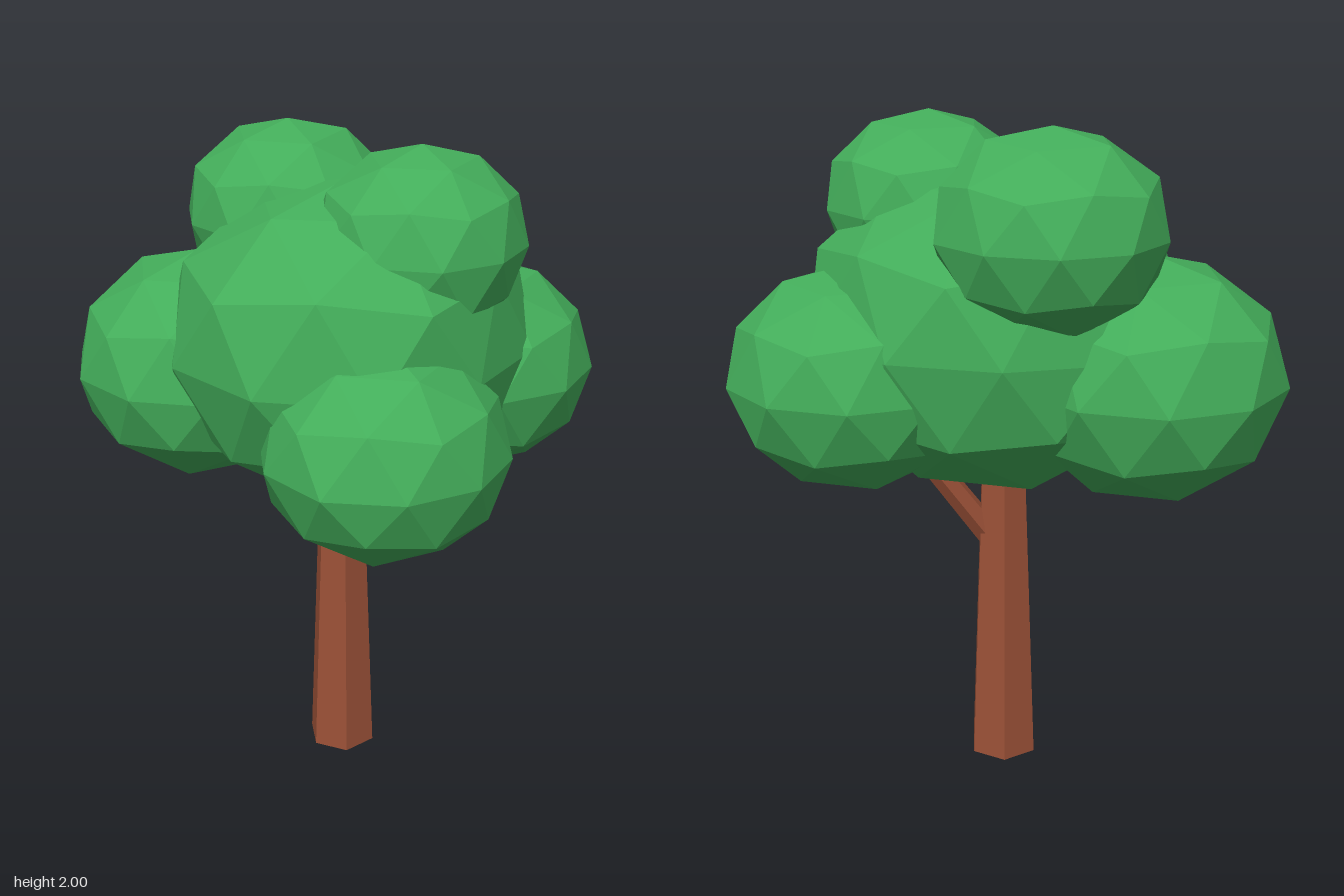
import * as THREE from 'three';

const leafGreen = new THREE.MeshStandardMaterial({ color: 0x43ad5a, flatShading: true });
leafGreen.name = 'leafGreen';
const barkBrown = new THREE.MeshStandardMaterial({ color: 0x9b5137, flatShading: true });
barkBrown.name = 'barkBrown';

// Foliage clumps: name, centre, radius across, radius up, bumps (direction, amount)
const CLUMPS = [
  ['crownCentre', [0.02, 1.4, -0.08], 0.543, 0.483, [
    [[0.15, 0.5, 0.85], 0.07], [[-0.72, 0.45, 0.52], 0.04], [[-0.72, 0.45, -0.52], 0.03],
    [[0.95, 0.35, 0], 0.05], [[0.2, 0, -1], -0.08], [[0.59, 0, 0.81], -0.05],
  ]],
  ['crownRight', [-0.405, 1.29, -0.265], 0.39, 0.35, []],
  ['crownLeft', [0.425, 1.277, -0.18], 0.371, 0.325, []],
  ['crownFront', [0.067, 1.215, 0.32], 0.357, 0.317, [[[-0.7, 0.1, 0.7], 0.05]]],
  ['crownTopFront', [0.21, 1.728, 0.042], 0.303, 0.272, [
    [[0, -0.5, 0.85], 0.08], [[-1, 0.2, 0], 0.05], [[0.8, 0.5, 0], 0.03],
  ]],
  ['crownTopBack', [-0.118, 1.712, -0.367], 0.315, 0.28, [
    [[-0.2, 0.1, 1], 0.05], [[-0.65, 0.75, 0], 0.06], [[0.6, 0.75, 0], 0.06], [[1, 0, -0.2], 0.04],
  ]],
];

// Tapered six-sided limb between two points
function limb(name, from, to, r0, r1) {
  const a = new THREE.Vector3(...from);
  const b = new THREE.Vector3(...to);
  const dir = b.clone().sub(a);
  const mesh = new THREE.Mesh(new THREE.CylinderGeometry(r1, r0, dir.length(), 6), barkBrown);
  mesh.name = name;
  mesh.position.copy(a).add(b).multiplyScalar(0.5);
  mesh.quaternion.setFromUnitVectors(new THREE.Vector3(0, 1, 0), dir.normalize());
  return mesh;
}

// Faceted, slightly flattened ball of leaves, swollen or dented along each bump
function clump([name, centre, r, ry, bumps]) {
  const geo = new THREE.IcosahedronGeometry(1, 1);
  geo.rotateX(-Math.atan((1 + Math.sqrt(5)) / 2)); // stand a corner on the y axis
  geo.rotateY(Math.PI / 2);
  const pos = geo.attributes.position;
  const swells = bumps.map(([d, amount]) => [new THREE.Vector3(...d).normalize(), amount]);
  const v = new THREE.Vector3();
  for (let i = 0; i < pos.count; i++) {
    v.fromBufferAttribute(pos, i);
    let k = 1;
    for (const [d, amount] of swells) k += amount * Math.max(0, v.dot(d)) ** 6;
    v.multiplyScalar(k);
    pos.setXYZ(i, v.x, v.y, v.z);
  }
  geo.scale(r, ry, r);
  geo.computeVertexNormals();
  const mesh = new THREE.Mesh(geo, leafGreen);
  mesh.name = name;
  mesh.position.set(...centre);
  return mesh;
}

export function createModel() {
  const tree = new THREE.Group();
  tree.name = 'tree';
  tree.add(limb('trunk', [0, 0, -0.061], [0, 1.06, -0.061], 0.11, 0.07));
  tree.add(limb('branch', [0.02, 0.705, -0.06], [0.31, 1.12, -0.135], 0.042, 0.034));

  const crown = new THREE.Group();
  crown.name = 'crown';
  for (const c of CLUMPS) crown.add(clump(c));
  tree.add(crown);
  return tree;
}
